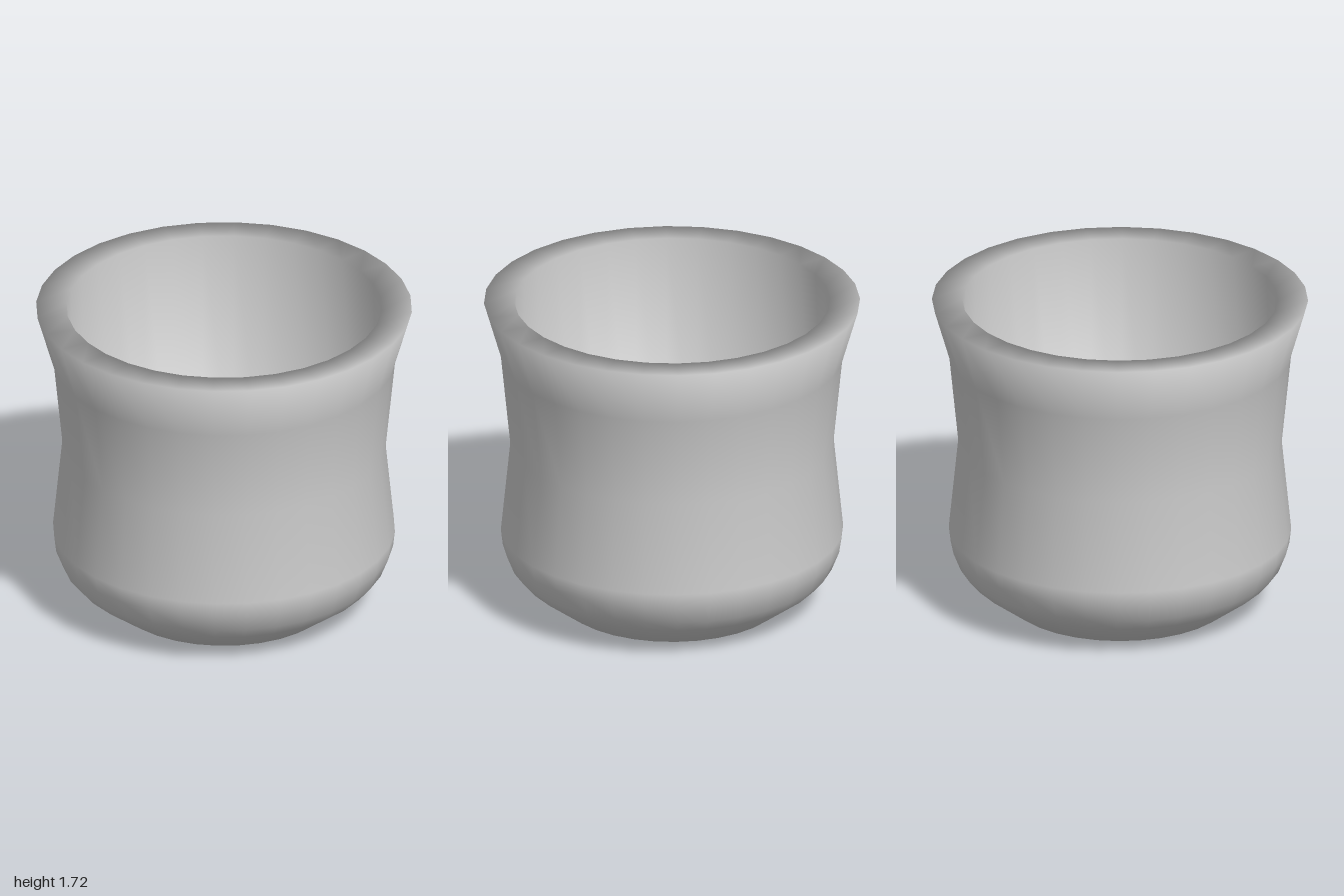
import * as THREE from 'three';

export function createModel() {
  const group = new THREE.Group();
  group.name = 'cup';

  // Closed profile: underside, rounded foot, waisted wall, flat rim, straight inside wall, floor
  const profile = [
    [0, 0], [0.59, 0],
    [0.8, 0.155], [0.86, 0.225], [0.9, 0.325], [0.91, 0.41],
    [0.86, 0.91], [0.91, 1.41], [1, 1.72],
    [0.838, 1.72], [0.838, 0.22], [0, 0.22],
  ].map(([r, y]) => new THREE.Vector2(r, y));

  const body = new THREE.Mesh(
    new THREE.LatheGeometry(profile, 32),
    new THREE.MeshStandardMaterial({ color: 0xcccccc })
  );
  body.name = 'cupBody';
  group.add(body);
  return group;
}
